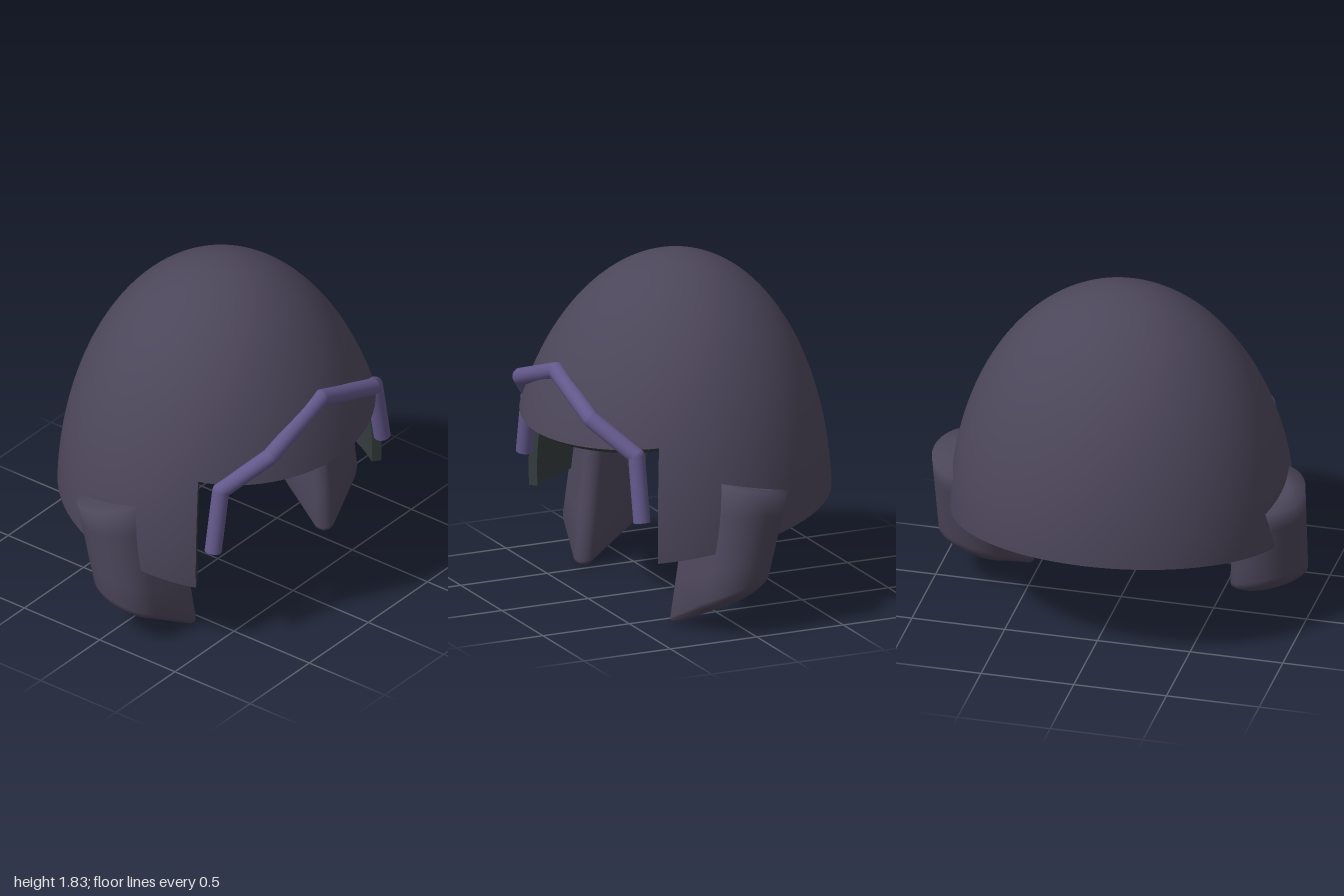
import * as THREE from 'three';
import { toCreasedNormals } from 'three/addons/utils/BufferGeometryUtils.js';

const material = (color) => new THREE.MeshStandardMaterial({ color, side: THREE.DoubleSide });
const MID = 0.5, RX = 0.905, RY = 1.33, RZ = 0.83; // dome centre height and radii
const SLOPE = 0.157, BROW = 1.075, RIM = 0.474;    // sloping cut planes: y = h - SLOPE * z
const OPEN = THREE.MathUtils.degToRad(57.5);       // half angle of the face opening
const INNER = 0.94;                                // lining size relative to the shell

// Point on the dome scaled by k, at azimuth phi (0 = front) and polar angle theta
function domePoint(k, phi, theta) {
  const c = Math.cos(theta), s = Math.sin(theta);
  // the sides flare a little towards the cheeks
  const flare = 1 + 0.07 * s ** 10 * Math.sin(2 * phi) ** 2 * Math.max(0, Math.cos(phi));
  return new THREE.Vector3(
    RX * k * Math.sin(phi) * s * flare,
    MID + RY * k * c,
    0.025 - 0.045 * c * c + RZ * k * Math.cos(phi) * s);
}

// Polar angle where the dome meets the cut plane of height h
function cutAngle(phi, h) {
  let theta = Math.PI / 2;
  for (let i = 0; i < 20; i++) {
    const y = h - SLOPE * domePoint(1, phi, theta).z;
    theta = Math.acos((y - MID) / RY);
  }
  return theta;
}

// Azimuth around the sides and back, and across the brow
const backPhi = (u) => OPEN + u * 2 * (Math.PI - OPEN);
const browPhi = (u) => OPEN * (2 * u - 1);

// Grid surface from point(u, v), with an optional normal rule
function surface(nu, nv, point, normal, flip = false) {
  const position = [], normals = [], index = [];
  for (let i = 0; i <= nu; i++) {
    for (let j = 0; j <= nv; j++) {
      const p = point(i / nu, j / nv);
      position.push(p.x, p.y, p.z);
      if (normal) normals.push(...normal(p).toArray());
      if (i < nu && j < nv) {
        const a = i * (nv + 1) + j, b = a + nv + 1;
        if (flip) index.push(a, b, a + 1, b, b + 1, a + 1);
        else index.push(a, a + 1, b, b, a + 1, b + 1);
      }
    }
  }
  const g = new THREE.BufferGeometry();
  g.setAttribute('position', new THREE.Float32BufferAttribute(position, 3));
  g.setIndex(index);
  if (normal) g.setAttribute('normal', new THREE.Float32BufferAttribute(normals, 3));
  else g.computeVertexNormals();
  return g;
}

function addMesh(parent, name, geometry, mat) {
  const mesh = new THREE.Mesh(geometry, mat);
  mesh.name = name;
  parent.add(mesh);
  return mesh;
}

// Crown above the brow plus the skirt around sides and back
function addShell(parent, name, k, mat, inside) {
  const normal = (p) => new THREE.Vector3(p.x / RX ** 2, (p.y - MID) / RY ** 2, p.z / RZ ** 2)
    .normalize().multiplyScalar(inside ? -1 : 1);
  addMesh(parent, name + 'Crown', surface(96, 32, (u, v) => {
    const phi = u < 0.75 ? backPhi(u / 0.75) : browPhi((u - 0.75) / 0.25);
    return domePoint(k, phi, v * cutAngle(phi, BROW));
  }, normal, inside), mat);
  addMesh(parent, name + 'Skirt', surface(72, 14, (u, v) => {
    const phi = backPhi(u), top = cutAngle(phi, BROW), low = cutAngle(phi, RIM);
    return domePoint(k, phi, top + v * (low - top));
  }, normal, inside), mat);
}

// Edge faces that join shell and lining
function addEdges(parent, mat) {
  const depth = (v) => 1 + v * (INNER - 1);
  const cutPoint = (phi, v, h) => domePoint(depth(v), phi, cutAngle(phi, h));
  addMesh(parent, 'browEdge', surface(24, 1, (u, v) => cutPoint(browPhi(u), v, BROW)), mat);
  addMesh(parent, 'lowerEdge', surface(72, 1, (u, v) => cutPoint(backPhi(u), v, RIM)), mat);
  for (const side of [1, -1]) {
    const phi = side * OPEN, top = cutAngle(phi, BROW), low = cutAngle(phi, RIM);
    addMesh(parent, side > 0 ? 'leftOpeningEdge' : 'rightOpeningEdge', surface(14, 1,
      (u, v) => domePoint(depth(v), phi, top + u * (low - top)), null, side < 0), mat);
  }
}

// Cheek guard: teardrop section, leaning back, slanted top and a rounded keel below
function cheekGuard(side) {
  const big = { x: 0.79, z: 0.05, r: 0.2 }, tip = { x: 0.59, z: 0.24, r: 0.06 };
  const dx = tip.x - big.x, dz = tip.z - big.z, len = Math.hypot(dx, dz);
  const dir = Math.atan2(dz, dx), half = Math.acos((big.r - tip.r) / len);

  // outline as circle centre, radius and direction
  const ring = [];
  const arc = (c, from, to, n) => {
    for (let i = 0; i <= n; i++) ring.push({ ...c, a: from + (to - from) * i / n });
  };
  arc(tip, dir - half, dir + half, 12);
  arc(big, dir + half, dir - half + Math.PI * 2, 30);
  ring.push(ring[0]);

  // rows from the middle of the top, down the wall, to the keel: [spread, height]
  const rows = [[0, 1], [0.5, 1], [1, 1], [1, 0.75], [1, 0.5], [1, 0.25], [1, 0]];
  for (let i = 1; i <= 7; i++) rows.push([Math.cos(i * Math.PI / 14), 0]);

  const nu = ring.length - 1, nv = rows.length - 1;
  const g = surface(nu, nv, (u, v) => {
    const c = ring[Math.round(u * nu)], [s, t] = rows[Math.round(v * nv)];
    const x = c.x + c.r * s * Math.cos(c.a), z = c.z + c.r * s * Math.sin(c.a);
    const along = ((tip.x - x) * dx + (tip.z - z) * dz) / len;
    const round = (0.03 + 0.25 * c.r) * (1 - Math.sqrt(Math.max(0, 1 - s * s)));
    const bottom = 0.007 + 0.45 * along + round;
    const nx = x + t * (0.01 + 0.04 * (1 - x) / 0.47), nz = z - t * 0.1;
    const top = 0.785 + 0.23 * (z - 0.1);
    return new THREE.Vector3(side * nx, bottom + t * (top - bottom), nz);
  }, null, side > 0);
  return toCreasedNormals(g, Math.PI);
}

// Bent rod across the brow
function browBar(mat) {
  const bar = new THREE.Group();
  bar.name = 'browBar';
  const half = [[0.43, 1.12, 0.685], [0.65, 0.96, 0.53], [0.715, 0.615, 0.53]]
    .map((p) => new THREE.Vector3(...p));
  const mirrored = half.map((p) => new THREE.Vector3(-p.x, p.y, p.z)).reverse();
  const path = [...mirrored, new THREE.Vector3(0, 1.27, 0.685), ...half];
  const up = new THREE.Vector3(0, 1, 0), r = 0.045;
  for (let i = 0; i < path.length - 1; i++) {
    const d = path[i + 1].clone().sub(path[i]);
    const rod = addMesh(bar, 'rod', new THREE.CylinderGeometry(r, r, d.length(), 20), mat);
    rod.position.copy(path[i]).addScaledVector(d, 0.5);
    rod.quaternion.setFromUnitVectors(up, d.normalize());
    if (i > 0) addMesh(bar, 'bend', new THREE.SphereGeometry(r, 20, 14), mat).position.copy(path[i]);
  }
  return bar;
}

export function createModel() {
  const model = new THREE.Group();
  model.name = 'helmet';
  const shellMat = material(0x4c465a), liningMat = material(0x343c3e), barMat = material(0x62588a);

  addShell(model, 'shell', 1, shellMat, false);
  addShell(model, 'lining', INNER, liningMat, true);
  addEdges(model, liningMat);

  addMesh(model, 'leftCheekGuard', cheekGuard(1), shellMat);
  addMesh(model, 'rightCheekGuard', cheekGuard(-1), shellMat);
  model.add(browBar(barMat));
  return model;
}
